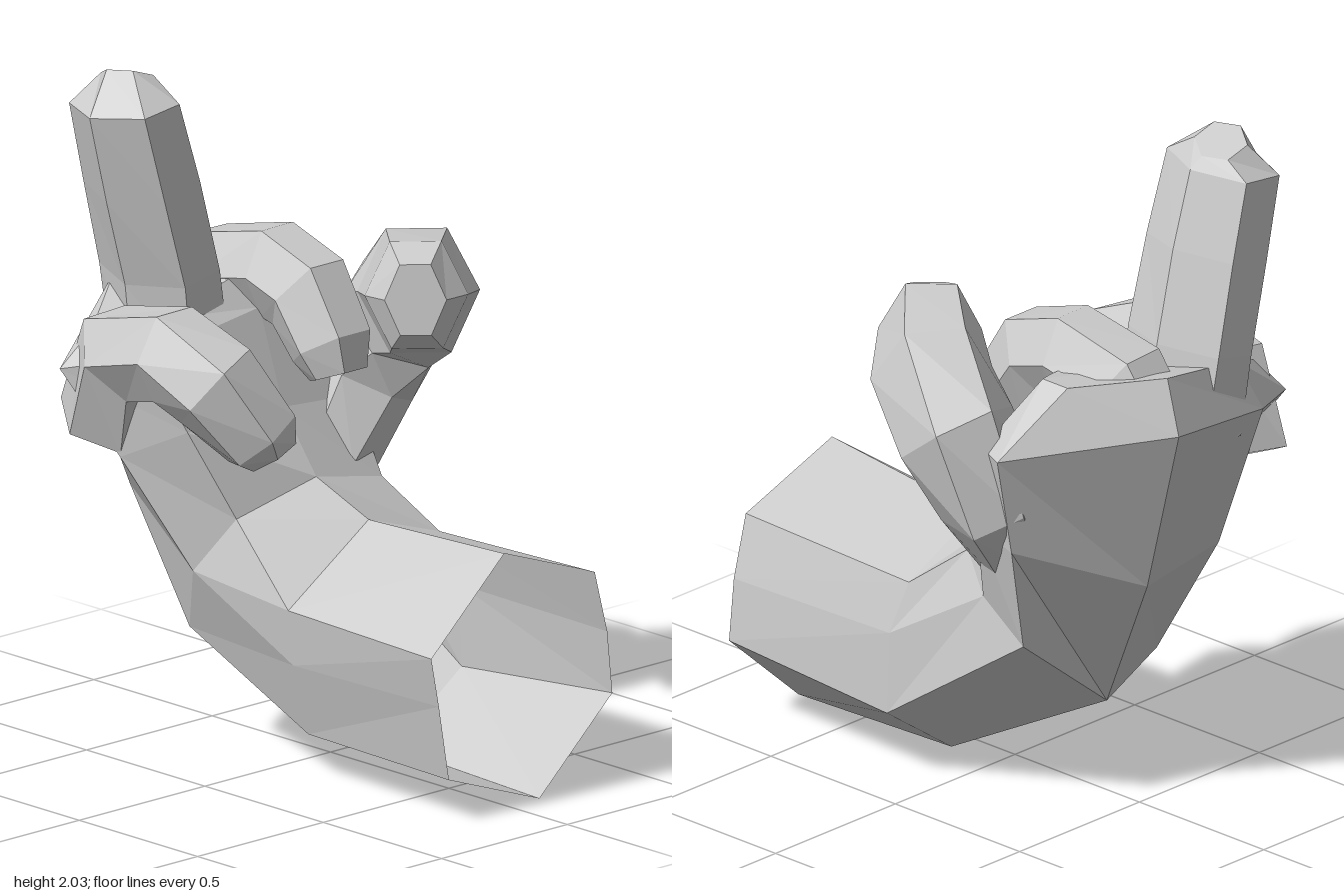
import * as THREE from 'three';

const material = new THREE.MeshStandardMaterial({
  color: 0xcccccc, flatShading: true, side: THREE.DoubleSide,
});

// Skin a list of rings (arrays of Vector3) and close the last one with a fan
function loft(name, rings) {
  const n = rings[0].length;
  const last = rings[rings.length - 1];
  const centre = last.reduce((s, p) => s.add(p), new THREE.Vector3()).divideScalar(n);
  const index = [];
  for (let i = 0; i < rings.length - 1; i++) {
    for (let j = 0; j < n; j++) {
      const k = (j + 1) % n;
      const a = i * n + j, b = i * n + k, c = a + n, d = b + n;
      index.push(a, b, c, b, d, c);
    }
  }
  const end = (rings.length - 1) * n;
  for (let j = 0; j < n; j++) index.push(rings.length * n, end + j, end + (j + 1) % n);

  const geometry = new THREE.BufferGeometry().setFromPoints([...rings.flat(), centre]);
  geometry.setIndex(index);
  geometry.computeVertexNormals();
  const mesh = new THREE.Mesh(geometry, material);
  mesh.name = name;
  return mesh;
}

// Six-sided finger along a path of [x, y, z, half width, half depth];
// the width runs along the side direction
function finger(name, side, path) {
  const centres = path.map(([x, y, z]) => new THREE.Vector3(x, y, z));
  const rings = path.map(([, , , w, d], i) => {
    const t = centres[Math.min(i + 1, path.length - 1)].clone()
      .sub(centres[Math.max(i - 1, 0)]).normalize();
    const u = side.clone().addScaledVector(t, -side.dot(t)).normalize();
    const v = t.clone().cross(u);
    return Array.from({ length: 6 }, (_, j) => {
      const a = j * Math.PI / 3;
      return centres[i].clone()
        .addScaledVector(u, w * Math.cos(a))
        .addScaledVector(v, d * Math.sin(a));
    });
  });
  return loft(name, rings);
}

export function createModel() {
  const hand = new THREE.Group();
  hand.name = 'hand';

  // Wrist and palm: rings run inner side, +x side, back, -x side
  const ring = (points) => points.map((p) => new THREE.Vector3(...p));
  hand.add(loft('wristAndPalm', [
    // open wrist end
    [[-0.02, 0.77, 0.755], [0.34, 0.64, 0.755], [0.39, 0.45, 0.755], [0.41, 0.26, 0.755],
      [0.12, 0, 0.755], [-0.24, 0.13, 0.755], [-0.28, 0.36, 0.755], [-0.31, 0.51, 0.755]],
    // wrist bend
    [[0.02, 0.73, 0.14], [0.34, 0.62, 0.1], [0.38, 0.46, 0.14], [0.39, 0.21, 0.14],
      [0.12, 0.02, 0.14], [-0.22, 0.13, 0.14], [-0.28, 0.35, 0.14], [-0.3, 0.52, 0.14]],
    // heel of the hand
    [[0, 0.82, -0.06], [0.28, 0.76, -0.08], [0.33, 0.66, -0.19], [0.35, 0.56, -0.37],
      [-0.02, 0.27, -0.35], [-0.25, 0.36, -0.33], [-0.34, 0.57, -0.22], [-0.28, 0.74, -0.1]],
    // middle of the palm
    [[0, 1.0, -0.2], [0.28, 0.98, -0.2], [0.42, 0.93, -0.25], [0.43, 0.89, -0.4],
      [0.05, 0.72, -0.58], [-0.28, 0.75, -0.55], [-0.46, 0.9, -0.4], [-0.38, 1.0, -0.2]],
    // knuckles
    [[0, 1.28, -0.3], [0.3, 1.25, -0.28], [0.45, 1.2, -0.3], [0.5, 1.2, -0.41],
      [0.1, 1.26, -0.755], [-0.32, 1.2, -0.69], [-0.55, 1.15, -0.56], [-0.45, 1.22, -0.3]],
    // top of the palm
    [[0, 1.38, -0.36], [0.22, 1.38, -0.36], [0.3, 1.4, -0.4], [0.3, 1.4, -0.5],
      [0.08, 1.42, -0.69], [-0.25, 1.36, -0.65], [-0.46, 1.26, -0.52], [-0.35, 1.3, -0.36]],
  ].map(ring)));

  const across = new THREE.Vector3(1, 0, 0);

  // Upright finger
  hand.add(finger('raisedFinger', across, [
    [-0.16, 1.15, -0.51, 0.15, 0.2],
    [-0.2, 1.4, -0.51, 0.14, 0.21],
    [-0.27, 1.67, -0.51, 0.145, 0.2],
    [-0.34, 1.92, -0.51, 0.14, 0.185],
    [-0.31, 2.0, -0.53, 0.08, 0.08],
  ]));

  // Curled finger beside the thumb
  hand.add(finger('curledIndexFinger', across, [
    [0.05, 1.18, -0.6, 0.14, 0.15],
    [0.06, 1.34, -0.5, 0.14, 0.15],
    [0.07, 1.38, -0.3, 0.13, 0.15],
    [0.07, 1.34, -0.17, 0.13, 0.15],
    [0.07, 1.2, -0.07, 0.125, 0.13],
    [0.07, 1.12, -0.04, 0.09, 0.09],
  ]));

  // Curled outer finger
  hand.add(finger('curledLittleFinger', across, [
    [-0.38, 0.98, -0.52, 0.16, 0.16],
    [-0.42, 1.2, -0.42, 0.15, 0.16],
    [-0.44, 1.25, -0.2, 0.145, 0.15],
    [-0.41, 1.18, -0.05, 0.15, 0.15],
    [-0.31, 1.02, 0.04, 0.13, 0.12],
    [-0.29, 0.97, 0.06, 0.09, 0.08],
  ]));

  // Thumb, sweeping forward and inward
  hand.add(finger('thumb', new THREE.Vector3(0.78, 0, 0.62), [
    [0.22, 0.78, -0.24, 0.13, 0.14],
    [0.36, 1.0, -0.25, 0.16, 0.2],
    [0.42, 1.2, -0.17, 0.18, 0.21],
    [0.36, 1.32, -0.01, 0.18, 0.21],
    [0.21, 1.37, 0.14, 0.15, 0.18],
    [0.15, 1.38, 0.2, 0.09, 0.12],
  ]));

  return hand;
}
